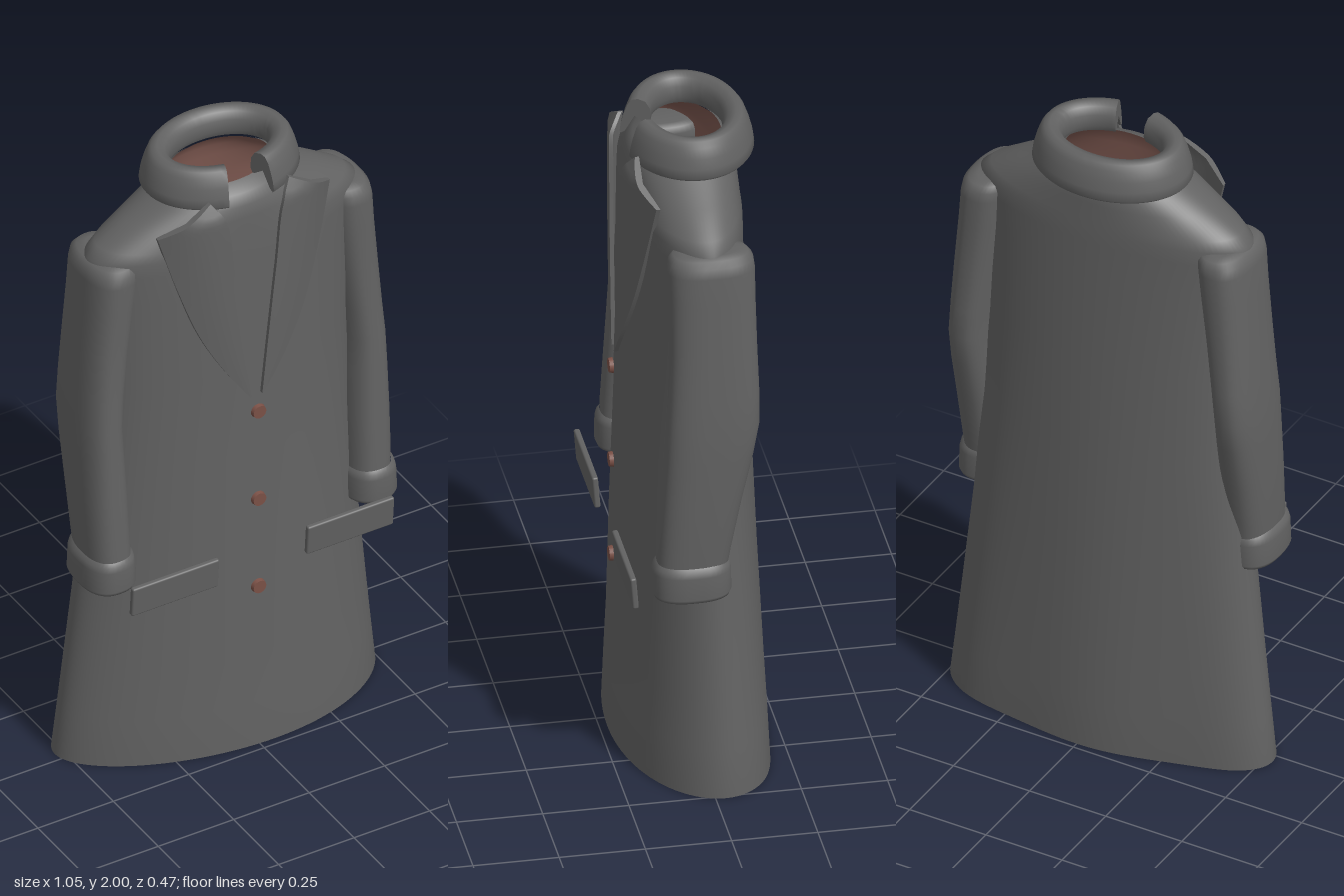
import * as THREE from 'three';
import { toCreasedNormals } from 'three/addons/utils/BufferGeometryUtils.js';
import { RoundedBoxGeometry } from 'three/addons/geometries/RoundedBoxGeometry.js';

const V = (x, y, z) => new THREE.Vector3(x, y, z);

// Skin a list of closed rings; flip turns the surface inside out, caps close the ends
function loft(rings, { flip = false, capStart = false, capEnd = false } = {}) {
  const all = rings.slice();
  const middle = (ring) => {
    const c = V(0, 0, 0);
    ring.forEach((p) => c.add(p));
    c.divideScalar(ring.length);
    return ring.map(() => c.clone());
  };
  if (capStart) all.unshift(middle(rings[0]));
  if (capEnd) all.push(middle(rings[rings.length - 1]));
  const n = all[0].length;
  const index = [];
  for (let i = 0; i < all.length - 1; i++) {
    for (let j = 0; j < n; j++) {
      const a = i * n + j, b = i * n + (j + 1) % n, c = a + n, d = b + n;
      if (flip) index.push(a, b, c, b, d, c);
      else index.push(a, c, b, b, c, d);
    }
  }
  const geo = new THREE.BufferGeometry().setFromPoints(all.flat());
  geo.setIndex(index);
  geo.computeVertexNormals();
  return geo;
}

// Horizontal superellipse ring
function ovalRing(y, cx, hx, cz, hz, power = 2, n = 40) {
  return Array.from({ length: n }, (_, j) => {
    const a = (j / n) * Math.PI * 2, c = Math.cos(a), s = Math.sin(a);
    const e = 2 / power;
    return V(cx + Math.sign(c) * Math.abs(c) ** e * hx, y, cz + Math.sign(s) * Math.abs(s) ** e * hz);
  });
}

// Coat body: height, half width, front depth, back depth
const BODY = [
  [0, 0.52, 0.225, 0.222], [0.15, 0.503, 0.218, 0.217], [0.3, 0.487, 0.21, 0.21], [0.65, 0.45, 0.2, 0.195],
  [1, 0.422, 0.186, 0.182], [1.3, 0.412, 0.18, 0.17], [1.6, 0.425, 0.175, 0.158], [1.7, 0.437, 0.172, 0.155],
  [1.745, 0.438, 0.17, 0.153], [1.775, 0.405, 0.168, 0.15], [1.83, 0.31, 0.165, 0.147],
  [1.87, 0.235, 0.16, 0.143], [1.9, 0.19, 0.14, 0.13], [1.92, 0.16, 0.1, 0.11],
];

// Body ring with soft folds that grow towards the hem
function bodyRing([y, hx, front, back], scale = 1) {
  const n = 96, w = Math.max(0, 1 - y / 1.4);
  return Array.from({ length: n }, (_, j) => {
    const a = (j / n) * Math.PI * 2, c = Math.cos(a), s = Math.sin(a);
    const x = c * hx * scale;
    const fold = 1 + w * (0.26 * x + 0.045 * Math.max(0, -s) * Math.sin(5 * a + 3.58));
    return V(x - 0.008 * w, y, s * (s > 0 ? front : back) * scale * fold - 0.03 * w * c * c);
  });
}

// Sleeve: height, centre x, half width, centre z, half depth
const SLEEVE = [
  [0.7, 0.428, 0.066, 0.06, 0.1], [0.8, 0.432, 0.068, 0.05, 0.106], [0.95, 0.434, 0.069, 0.03, 0.116],
  [1.1, 0.436, 0.067, 0.008, 0.128], [1.2, 0.436, 0.065, -0.004, 0.134], [1.3, 0.428, 0.066, -0.008, 0.131],
  [1.45, 0.414, 0.07, -0.009, 0.126], [1.6, 0.398, 0.074, -0.008, 0.125], [1.69, 0.39, 0.076, -0.007, 0.126],
  [1.72, 0.386, 0.074, -0.007, 0.122], [1.737, 0.382, 0.062, -0.007, 0.108], [1.743, 0.38, 0.04, -0.007, 0.08],
];
// Cuff: height, half width, half depth
const CUFF = [[0.675, 0.066, 0.098], [0.66, 0.07, 0.103], [0.655, 0.077, 0.109], [0.667, 0.083, 0.114],
  [0.735, 0.08, 0.113], [0.752, 0.076, 0.109], [0.762, 0.066, 0.1]];

// Lapel panel curved around the chest
function lapelGeometry(side) {
  const curve = (pts) => new THREE.CatmullRomCurve3(pts.map(([x, y]) => V(x, y, 0)));
  const inner = curve([[0.018, 1.22], [0.042, 1.44], [0.068, 1.66], [0.095, 1.865], [0.13, 1.92]]);
  const outer = curve([[0.022, 1.22], [0.1, 1.335], [0.172, 1.47], [0.235, 1.65], [0.285, 1.83]]);
  const rings = [];
  for (let i = 0; i <= 20; i++) {
    const t = i / 20, a = inner.getPoint(t), b = outer.getPoint(t);
    const front = [], back = [];
    for (let k = 0; k <= 10; k++) {
      const u = k / 10, p = b.clone().lerp(a, u);
      const z = 0.203 - 0.9 * p.x * p.x + 0.01 * Math.sin(Math.PI * u) * t
        - 0.5 * Math.max(0, p.y - 1.87);
      front.push(V(p.x * side, p.y, z));
      back.unshift(V(p.x * side, p.y, z - 0.012));
    }
    rings.push([...front, ...back]);
  }
  return toCreasedNormals(loft(rings, { flip: side < 0, capStart: true, capEnd: true }), 0.6);
}

// Folded collar: profile swept around the neck, open at the front
function collarGeometry() {
  const profile = [[-0.034, 1.915], [-0.043, 1.935], [-0.04, 1.97], [-0.027, 1.992], [-0.005, 2], [0.012, 1.996],
    [0.024, 1.98], [0.035, 1.95], [0.043, 1.92], [0.047, 1.893], [0.042, 1.886], [0.032, 1.893],
    [0.02, 1.935], [0.002, 1.96], [-0.018, 1.955], [-0.027, 1.925]];
  const rings = [], gap = 0.31, steps = 72;
  for (let i = 0; i <= steps; i++) {
    const a = Math.PI / 2 + gap + (i / steps) * (Math.PI * 2 - 2 * gap);
    rings.push(profile.map(([r, y]) =>
      V(0.007 + Math.cos(a) * (0.195 + r), y, -0.012 + Math.sin(a) * (0.143 + r))));
  }
  return toCreasedNormals(loft(rings, { capStart: true, capEnd: true }), 0.9);
}

export function createModel() {
  const coat = new THREE.MeshStandardMaterial({ color: 0x626262 });
  coat.name = 'charcoal cloth';
  const lining = new THREE.MeshStandardMaterial({ color: 0x7d5850 });
  lining.name = 'russet lining';
  const horn = new THREE.MeshStandardMaterial({ color: 0x7a5046 });
  horn.name = 'brown button';

  const model = new THREE.Group();
  model.name = 'overcoat';
  const add = (name, geo, mat, parent = model) => {
    const mesh = new THREE.Mesh(geo, mat);
    mesh.name = name;
    parent.add(mesh);
    return mesh;
  };

  // Body with a turned-in hem, and its lining
  const hem = bodyRing(BODY[0], 0.98);
  add('body', loft([hem, ...BODY.map((s) => bodyRing(s))]), coat);
  add('bodyLining', loft(BODY.map((s) => bodyRing(s, 0.98)), { flip: true }), lining);
  add('collar', collarGeometry(), coat);

  for (const side of [-1, 1]) {
    const label = side > 0 ? 'left' : 'right';

    // Sleeve, cuff and the lining seen inside the cuff
    const arm = new THREE.Group();
    arm.name = label + 'Arm';
    arm.position.x = 0.007;
    model.add(arm);
    const ring = ([y, cx, hx, cz, hz], k = 1) => ovalRing(y, cx * side, hx * k, cz, hz * k, 2.5);
    add('sleeve', loft(SLEEVE.map((s) => ring(s)), { capEnd: true }), coat, arm);
    add('cuff', loft(CUFF.map(([y, hx, hz]) => ovalRing(y, 0.433 * side, hx, 0.058, hz, 2.5))), coat, arm);
    const inside = [[0.66, 0.433, 0.07, 0.058, 0.103], ...SLEEVE.slice(0, 5)];
    add('sleeveLining', loft(inside.map((s) => ring(s, 0.96)), { flip: true, capEnd: true }), lining, arm);

    add(label + 'Lapel', lapelGeometry(side), coat).position.x = 0.004;

    // Pocket flap, tipped slightly outward at the top
    const flap = add(label + 'PocketFlap', new RoundedBoxGeometry(0.287, 0.1, 0.018, 3, 0.006), coat);
    flap.position.set(0.009 + side * 0.29, 0.66, 0.222);
    flap.rotation.x = 0.08;
  }

  // Front buttons
  [1.165, 0.855, 0.545].forEach((y, i) => {
    const button = add('button' + (i + 1), new THREE.CylinderGeometry(0.021, 0.023, 0.012, 20), horn);
    button.rotation.x = Math.PI / 2;
    button.position.set(0.007, y, 0.209);
  });

  return model;
}
